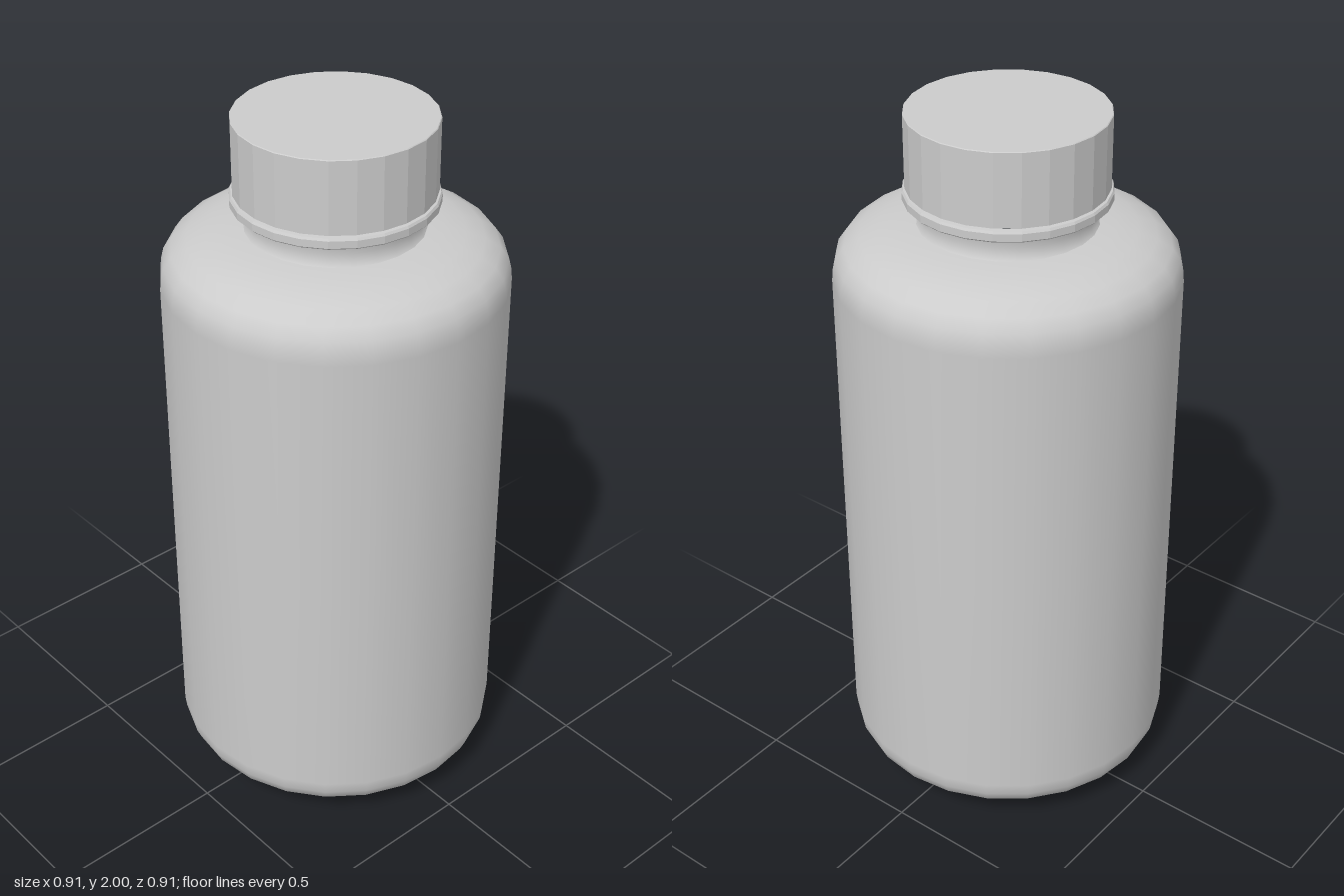
import * as THREE from 'three';

const SIDES = 24;

// Revolved part from [radius, height] pairs, listed from bottom to top
function revolve(name, profile, flatShading = false) {
  const points = profile.map(([r, y]) => new THREE.Vector2(r, y));
  const material = new THREE.MeshStandardMaterial({ color: 0xcccccc, flatShading });
  const mesh = new THREE.Mesh(new THREE.LatheGeometry(points, SIDES), material);
  mesh.name = name;
  return mesh;
}

export function createModel() {
  const group = new THREE.Group();
  group.name = 'bottle';

  // Body with a softly rounded base and shoulder
  group.add(revolve('body', [
    [0, 0], [0.12, 0.003], [0.22, 0.01], [0.3, 0.023], [0.36, 0.04], [0.41, 0.066],
    [0.44, 0.095], [0.453, 0.125], [0.457, 0.16],
    [0.457, 0.85], [0.457, 1.55],
    [0.455, 1.58], [0.447, 1.612], [0.425, 1.643], [0.385, 1.668], [0.335, 1.685],
    [0.28, 1.695], [0.235, 1.699],
  ]));

  // Neck, flared slightly where it meets the shoulder and the cap
  group.add(revolve('neck', [
    [0.236, 1.699], [0.228, 1.71], [0.226, 1.73], [0.228, 1.755], [0.234, 1.768],
  ]));

  // Tamper ring, open at the bottom around the neck
  group.add(revolve('tamperRing', [
    [0.225, 1.768], [0.267, 1.766], [0.271, 1.77], [0.271, 1.79], [0.267, 1.796], [0.255, 1.797],
  ], true));

  // Screw cap with faceted sides and a flat top
  group.add(revolve('cap', [
    [0.25, 1.796], [0.263, 1.801], [0.263, 1.998], [0.261, 2], [0, 2],
  ], true));

  return group;
}
